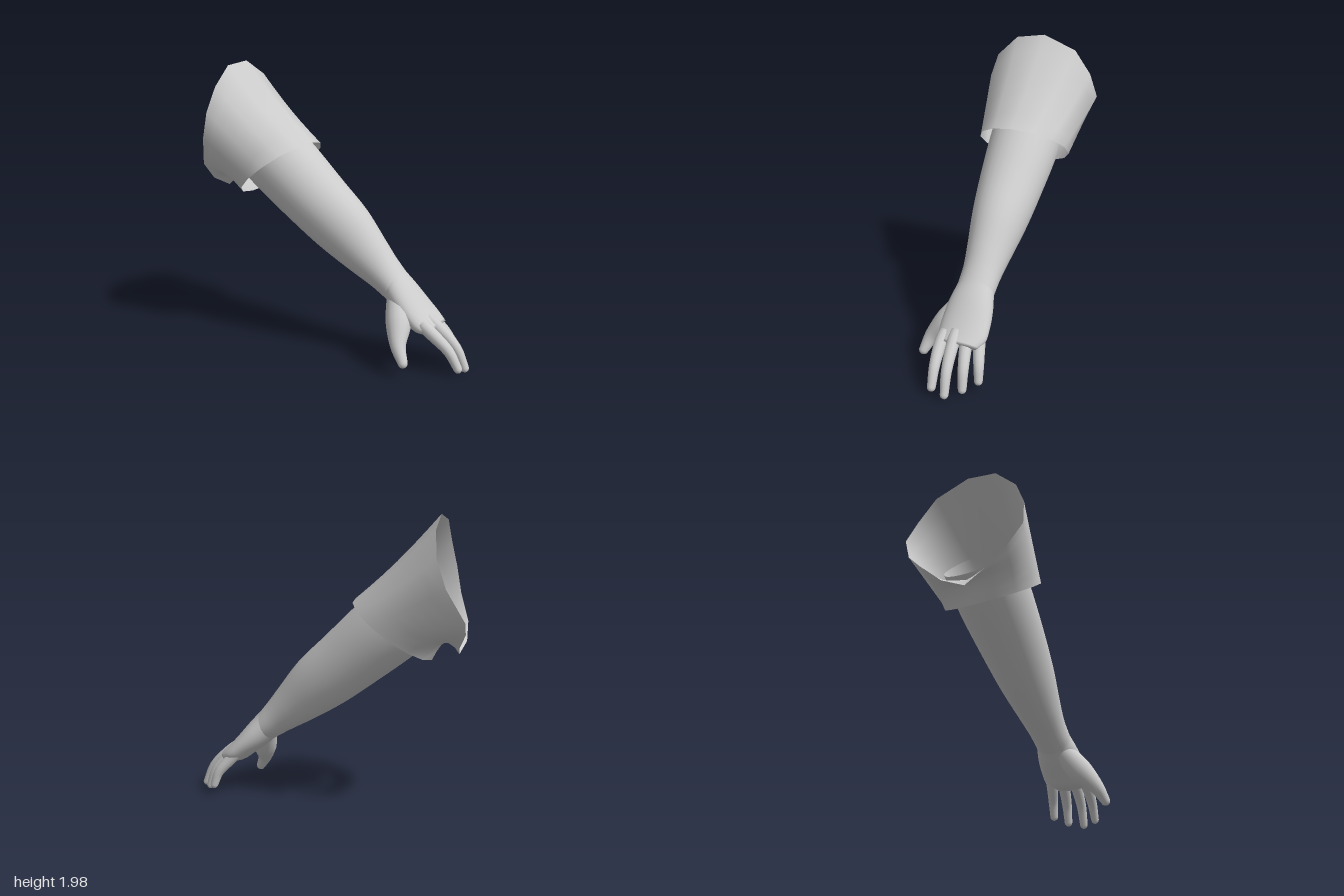
import * as THREE from 'three';

const grey = new THREE.MeshStandardMaterial({ color: 0xcccccc, side: THREE.DoubleSide });
const V = (x, y, z) => new THREE.Vector3(x, y, z);

// Skins a list of closed rings (equal point counts) into one smooth surface
function skin(name, rings) {
  const n = rings[0].length, pos = [], idx = [];
  rings.forEach(r => r.forEach(p => pos.push(p.x, p.y, p.z)));
  for (let i = 0; i < rings.length - 1; i++) {
    for (let j = 0; j < n; j++) {
      const a = i * n + j, b = i * n + (j + 1) % n;
      idx.push(a, b, b + n, a, b + n, a + n);
    }
  }
  const g = new THREE.BufferGeometry();
  g.setAttribute('position', new THREE.Float32BufferAttribute(pos, 3));
  g.setIndex(idx);
  g.computeVertexNormals();
  const mesh = new THREE.Mesh(g, grey);
  mesh.name = name;
  return mesh;
}

// Oval ring from its upper corner (x, y, zMin) and lower corner (x, y, zMax)
function oval(a, b, n, scale = 1) {
  const c = a.clone().add(b).multiplyScalar(0.5);
  const ring = [];
  for (let j = 0; j < n; j++) {
    const t = j / n * Math.PI * 2, cu = Math.cos(t) * scale / 2, s = Math.sin(t) * scale / 2;
    ring.push(V(c.x + (a.x - b.x) * cu, c.y + (a.y - b.y) * cu, c.z + (b.z - a.z) * s));
  }
  return ring;
}

// Smooth loft through sections [topX, topY, bottomX, bottomY, zMin, zMax]
function loft(name, sections, steps, n, closeEnd) {
  const top = new THREE.CatmullRomCurve3(sections.map(s => V(s[0], s[1], s[4])));
  const low = new THREE.CatmullRomCurve3(sections.map(s => V(s[2], s[3], s[5])));
  const rings = [];
  for (let i = 0; i <= steps; i++) rings.push(oval(top.getPoint(i / steps), low.getPoint(i / steps), n));
  if (closeEnd) rings.push(oval(top.getPoint(1), low.getPoint(1), n, 0.001));
  return skin(name, rings);
}

// Round-tipped finger along a curve with a radius at each control point
function finger(name, points, radii, steps = 12, n = 12) {
  const path = new THREE.CatmullRomCurve3(points.map(p => V(...p)));
  const radius = new THREE.CatmullRomCurve3(radii.map((r, i) => V(r, i, 0)));
  const ringAt = (c, t, r) => {
    const up = V(0, 0, 1).cross(t).normalize(), side = t.clone().cross(up);
    return Array.from({ length: n }, (_, j) => {
      const a = j / n * Math.PI * 2;
      return c.clone().addScaledVector(up, r * Math.cos(a)).addScaledVector(side, r * Math.sin(a));
    });
  };
  const rings = [];
  for (let i = 0; i <= steps; i++) {
    const u = i / steps;
    rings.push(ringAt(path.getPoint(u), path.getTangent(u), radius.getPoint(u).x));
  }
  // Domed tip
  const end = path.getPoint(1), dir = path.getTangent(1), r = radii[radii.length - 1];
  for (let k = 1; k <= 4; k++) {
    const a = k / 4 * Math.PI / 2;
    rings.push(ringAt(end.clone().addScaledVector(dir, r * Math.sin(a)), dir, Math.max(r * Math.cos(a), 1e-4)));
  }
  return skin(name, rings);
}

// Wide open sleeve: uneven shoulder rim blended into an oval cuff
function sleeve() {
  const rim = [
    [-0.78, 2, -0.03], [-0.78, 1.97, 0.18], [-0.775, 1.83, 0.33], [-0.8, 1.66, 0.4],
    [-0.83, 1.48, 0.41], [-0.9, 1.29, 0.33], [-0.92, 1.17, 0.2], [-0.9, 1.1, 0.05],
    [-0.93, 1.16, -0.1], [-0.99, 1.26, -0.22], [-1, 1.34, -0.3], [-0.9, 1.55, -0.41],
    [-0.83, 1.73, -0.37], [-0.8, 1.9, -0.26],
  ].map(p => V(...p));
  const n = rim.length;
  const cuff = oval(V(-0.2, 1.45, -0.33), V(-0.73, 1.06, 0.33), n);
  const rings = [];
  for (let i = 0; i <= 6; i++) {
    const t = i / 6;
    rings.push(rim.map((p, j) => {
      const q = p.clone().lerp(cuff[j], t);
      const under = Math.max(0, -Math.cos(j / n * Math.PI * 2)) ** 3;
      const over = Math.max(0, Math.cos(j / n * Math.PI * 2));
      q.y += Math.sin(Math.PI * t) * (0.1 * under - 0.025 * over); // tucked armpit, hollow top
      return q;
    }));
  }
  return skin('sleeve', rings);
}

export function createModel() {
  const model = new THREE.Group();
  model.name = 'sleevedArm';
  model.add(sleeve());

  // Arm tapering from inside the sleeve to the wrist
  model.add(loft('forearm', [
    [-0.45, 1.62, -0.80, 1.25, -0.26, 0.25],
    [-0.22, 1.41, -0.62, 1.095, -0.26, 0.24],
    [0.00, 1.20, -0.36, 0.90, -0.235, 0.215],
    [0.20, 1.01, -0.12, 0.73, -0.205, 0.18],
    [0.35, 0.82, 0.12, 0.59, -0.165, 0.14],
    [0.43, 0.715, 0.29, 0.50, -0.145, 0.12],
    [0.50, 0.63, 0.41, 0.43, -0.14, 0.12],
  ], 30, 28, false));

  // Hand
  const hand = new THREE.Group();
  hand.name = 'hand';
  hand.add(loft('palm', [
    [0.50, 0.63, 0.41, 0.43, -0.14, 0.12],
    [0.58, 0.545, 0.48, 0.37, -0.165, 0.145],
    [0.67, 0.44, 0.565, 0.31, -0.18, 0.155],
    [0.74, 0.365, 0.645, 0.255, -0.178, 0.15],
    [0.79, 0.32, 0.725, 0.245, -0.14, 0.12],
  ], 16, 28, true));

  const fingers = {
    indexFinger: [[0.70, 0.33, 0.095], [0.78, 0.275, 0.1], [0.89, 0.18, 0.09], [0.955, 0.07, 0.082]],
    middleFinger: [[0.70, 0.35, 0.015], [0.78, 0.295, 0.012], [0.905, 0.175, -0.002], [0.965, 0.045, -0.012]],
    ringFinger: [[0.67, 0.35, -0.055], [0.745, 0.28, -0.065], [0.845, 0.165, -0.09], [0.885, 0.055, -0.1]],
    littleFinger: [[0.62, 0.37, -0.115], [0.69, 0.285, -0.135], [0.775, 0.185, -0.168], [0.81, 0.09, -0.18]],
  };
  for (const [name, pts] of Object.entries(fingers)) {
    hand.add(finger(name, pts, [0.045, 0.042, 0.035, 0.028]));
  }
  hand.add(finger('thumb',
    [[0.49, 0.47, 0.04], [0.555, 0.33, 0.145], [0.605, 0.21, 0.245], [0.66, 0.12, 0.285]],
    [0.07, 0.085, 0.052, 0.033], 16, 16));
  model.add(hand);
  return model;
}
